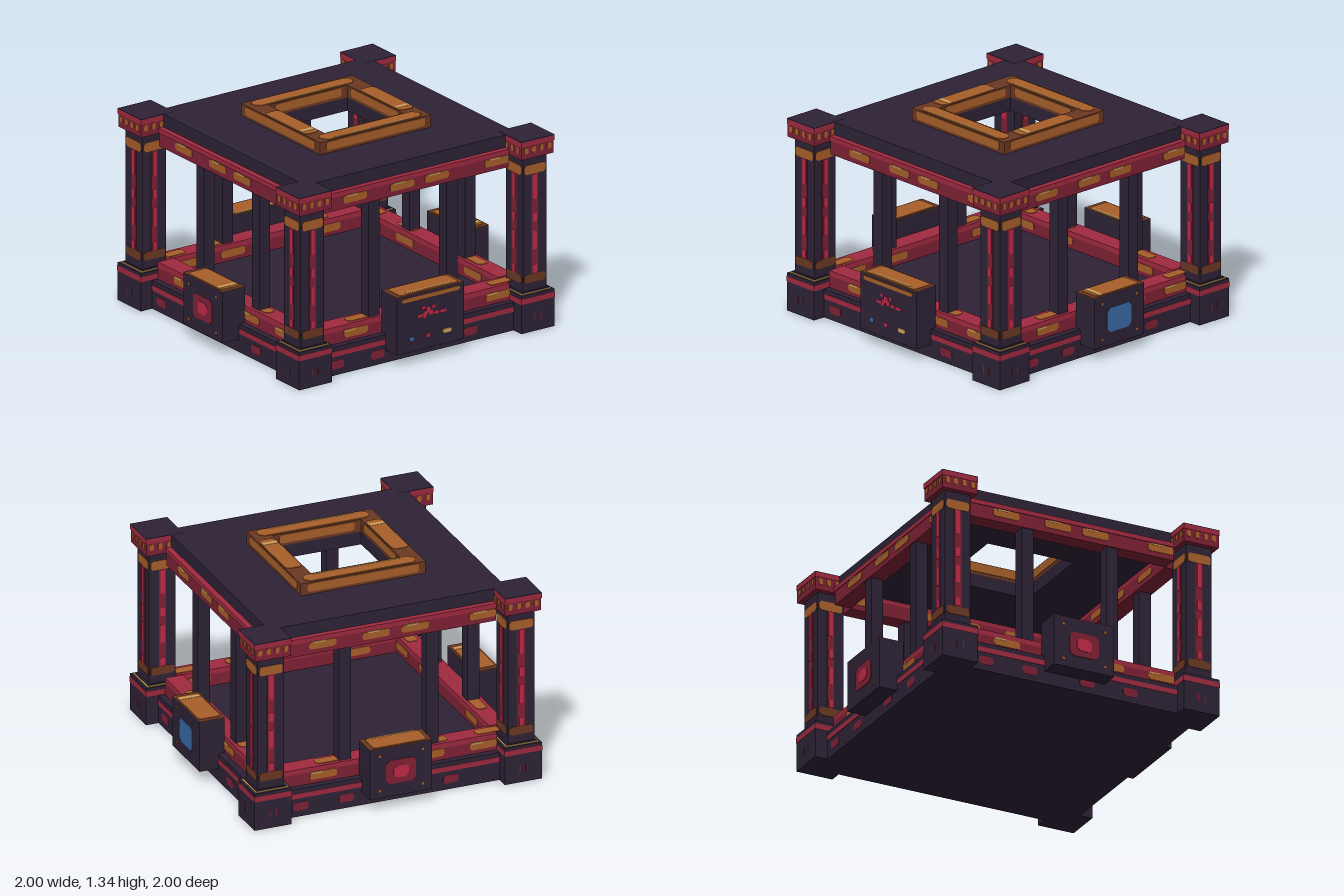
import * as THREE from 'three';

const mat = (name, color) => Object.assign(new THREE.MeshStandardMaterial({ color }), { name });
const DARK = mat('dark stone', 0x2d2236);
const RED = mat('deep red', 0x7f2135);
const MID = mat('trim red', 0xa02a40);
const CRIM = mat('crimson', 0xc02a48);
const GOLD = mat('bronze', 0xa85f2a);
const BROWN = mat('brown', 0x6b3822);
const PALE = mat('pale gold', 0xd0a25a);
const BLUE = mat('blue', 0x3a6aa8);

// Box given by its limits on each axis
function box(parent, name, m, x0, x1, y0, y1, z0, z1) {
  const mesh = new THREE.Mesh(new THREE.BoxGeometry(x1 - x0, y1 - y0, z1 - z0), m);
  mesh.position.set((x0 + x1) / 2, (y0 + y1) / 2, (z0 + z1) / 2);
  mesh.name = name;
  parent.add(mesh);
  return mesh;
}

// Thin plate with clipped corners, facing +z
function plate(parent, name, m, x, y, w, h, z, cut = 0.012, t = 0.004) {
  const a = w / 2, b = h / 2, c = Math.min(cut, a * 0.9, b * 0.9);
  const s = new THREE.Shape([[-a + c, -b], [a - c, -b], [a, -b + c], [a, b - c],
    [a - c, b], [-a + c, b], [-a, b - c], [-a, -b + c]].map(p => new THREE.Vector2(...p)));
  const mesh = new THREE.Mesh(new THREE.ExtrudeGeometry(s, { depth: t, bevelEnabled: false }), m);
  mesh.position.set(x, y, z);
  mesh.name = name;
  parent.add(mesh);
  return mesh;
}

// Horizontal plate lying on a top surface
function topPlate(parent, name, m, x, y, z, w, d, cut = 0.015) {
  const p = plate(parent, name, m, x, y, w, d, 0, cut);
  p.rotation.x = -Math.PI / 2;
  p.position.z = z;
  return p;
}

// One of four edges: lower rail, upper beam, inner posts and base trim
function makeEdge() {
  const g = new THREE.Group();
  g.name = 'edge';
  box(g, 'baseStripe', MID, -0.71, 0.71, 0.122, 0.155, 0.86, 0.875);
  for (const x of [-0.61, -0.31, 0.085, 0.385]) plate(g, 'basePatch', RED, x, 0.068, 0.1, 0.053, 0.87);
  box(g, 'lowerRail', RED, -0.71, 0.71, 0.18, 0.262, 0.71, 0.83);
  box(g, 'lowerRailCap', MID, -0.71, 0.71, 0.262, 0.295, 0.71, 0.83);
  box(g, 'upperBeam', RED, -0.71, 0.71, 1.05, 1.138, 0.71, 0.82);
  box(g, 'upperBeamCap', MID, -0.71, 0.71, 1.138, 1.168, 0.71, 0.825);
  for (const x of [-0.445, -0.09, 0.17, 0.62]) {
    plate(g, 'beamPatch', GOLD, x, 1.107, 0.18, 0.05, 0.82);
    plate(g, 'beamInnerPatch', GOLD, x, 1.107, 0.18, 0.05, 0.706);
    box(g, 'beamHighlight', PALE, x - 0.06, x + 0.02, 1.124, 1.133, 0.82, 0.826);
  }
  for (const x of [-0.445, 0.27, 0.62]) {
    plate(g, 'railPatch', GOLD, x, 0.236, 0.18, 0.05, 0.83);
    plate(g, 'railInnerPatch', GOLD, x, 0.236, 0.18, 0.05, 0.706);
    topPlate(g, 'railTopPatch', GOLD, x + 0.05, 0.295, 0.77, 0.16, 0.07);
    box(g, 'railHighlight', PALE, x - 0.085, x - 0.005, 0.25, 0.26, 0.83, 0.836);
  }
  for (const s of [-1, 1]) {
    box(g, 'innerPost', DARK, s * 0.292 - 0.04, s * 0.292 + 0.04, 0.29, 1.055, 0.73, 0.81);
  }
  return g;
}

// One of four corners: block, post, capital
function makeCorner() {
  const g = new THREE.Group();
  g.name = 'corner';
  const C = 0.832;
  const sq = (name, m, r, y0, y1) => box(g, name, m, C - r, C + r, y0, y1, C - r, C + r);
  sq('cornerBlock', DARK, 0.123, 0, 0.245);
  sq('cornerStripe', MID, 0.125, 0.19, 0.225);
  sq('postFootTrim', PALE, 0.11, 0.245, 0.25);
  sq('postFoot', DARK, 0.1, 0.25, 0.256);
  sq('post', DARK, 0.088, 0.245, 1.13);
  sq('capital', RED, 0.12, 1.132, 1.22);
  sq('capitalRim', MID, 0.123, 1.215, 1.247);
  sq('capitalTop', DARK, 0.123, 1.247, 1.251);
  // Painted faces, repeated on the four sides
  for (let i = 0; i < 4; i++) {
    const f = new THREE.Group();
    f.name = 'cornerFace';
    f.position.set(C, 0, C);
    f.rotation.y = i * Math.PI / 2;
    plate(f, 'postBandTop', GOLD, 0, 1.045, 0.155, 0.06, 0.088);
    plate(f, 'postBandBottom', BROWN, 0, 0.335, 0.155, 0.055, 0.088);
    box(f, 'postStripe', RED, -0.024, 0.024, 0.362, 1.015, 0.08, 0.091);
    for (const [a, b] of [[0.85, 1.01], [0.52, 0.64], [0.37, 0.42], [0.7, 0.76]]) {
      box(f, 'postGlow', CRIM, -0.014, 0.014, a, b, 0.085, 0.094);
    }
    for (const x of [-0.086, -0.029, 0.029, 0.086]) plate(f, 'capitalStud', GOLD, x, 1.187, 0.028, 0.042, 0.12, 0.008);
    for (const x of [-0.022, 0.022]) box(f, 'cornerTick', RED, x - 0.003, x + 0.003, 0.07, 0.12, 0.12, 0.125);
    g.add(f);
  }
  return g;
}

// Box fixed to the outside of an edge, with an inlaid top
function makePanel(name, hw, top) {
  const g = new THREE.Group();
  g.name = name;
  box(g, 'panelBody', DARK, -hw, hw, 0.085, top - 0.004, 0.83, 0.996);
  box(g, 'panelTop', BROWN, -hw, hw, top - 0.004, top, 0.83, 0.996);
  topPlate(g, 'panelInlay', GOLD, 0, top, 0.914, hw * 2 - 0.06, 0.145);
  return g;
}

export function createModel() {
  const model = new THREE.Group();
  model.name = 'pavilion';

  // Base and roof slab with square opening
  box(model, 'base', DARK, -0.872, 0.872, 0, 0.185, -0.872, 0.872);
  const roof = new THREE.Shape([[-1, -1], [1, -1], [1, 1], [-1, 1]].map(p => new THREE.Vector2(p[0] * 0.788, p[1] * 0.788)));
  roof.holes.push(new THREE.Path([[-1, -1], [-1, 1], [1, 1], [1, -1]].map(p => new THREE.Vector2(p[0] * 0.295, p[1] * 0.295))));
  const slab = new THREE.Mesh(new THREE.ExtrudeGeometry(roof, { depth: 0.087, bevelEnabled: false }), DARK);
  slab.rotation.x = -Math.PI / 2;
  slab.position.y = 1.163;
  slab.name = 'roofSlab';
  model.add(slab);

  // Edges and corners
  for (let i = 0; i < 4; i++) {
    for (const part of [makeEdge(), makeCorner()]) {
      part.rotation.y = i * Math.PI / 2;
      model.add(part);
    }
  }

  // Skylight frame
  const frame = new THREE.Group();
  frame.name = 'skylightFrame';
  for (const s of [-1, 1]) {
    const c = s * 0.355;
    box(frame, 'frameBar', BROWN, -0.415, 0.415, 1.25, 1.33, c - 0.06, c + 0.06);
    topPlate(frame, 'frameBarInlay', GOLD, 0, 1.33, c, 0.74, 0.094, 0.03);
    box(frame, 'frameBarHighlight', PALE, -0.29, 0.29, 1.33, 1.336, c + 0.034, c + 0.042);
    box(frame, 'frameSide', BROWN, c - 0.06, c + 0.06, 1.25, 1.33, -0.295, 0.295);
    topPlate(frame, 'frameSideInlay', GOLD, c, 1.33, 0.035, 0.108, 0.44, 0.02);
    box(frame, 'frameSideHighlight', PALE, c - 0.05, c + 0.05, 1.33, 1.336, 0.18, 0.21);
  }
  for (let i = 0; i < 4; i++) {
    const f = new THREE.Group();
    f.name = 'frameFace';
    f.rotation.y = i * Math.PI / 2;
    plate(f, 'frameOuterInlay', GOLD, 0, 1.296, 0.74, 0.056, 0.415);
    plate(f, 'frameInnerInlay', GOLD, 0, 1.296, 0.5, 0.056, 0.291);
    frame.add(f);
  }
  model.add(frame);

  // Front control panel
  const front = makePanel('frontPanel', 0.25, 0.46);
  box(front, 'topHighlight', PALE, -0.165, 0.165, 0.46, 0.466, 0.96, 0.972);
  plate(front, 'panelBar', GOLD, 0, 0.428, 0.44, 0.026, 0.996);
  for (const [x, m, w] of [[-0.145, BLUE, 0.032], [-0.02, CRIM, 0.028], [0.122, PALE, 0.064]]) {
    plate(front, 'panelLight', m, x, 0.17, w, 0.026, 0.996, 0.008);
  }
  for (const [x, y, w, h] of [[-0.02, 0.335, 0.03, 0.04], [-0.04, 0.315, 0.03, 0.03], [0, 0.315, 0.03, 0.03],
    [-0.08, 0.307, 0.045, 0.018], [0.04, 0.307, 0.04, 0.018], [0.092, 0.305, 0.05, 0.018],
    [-0.055, 0.355, 0.025, 0.02], [0.02, 0.35, 0.025, 0.02], [-0.05, 0.293, 0.02, 0.016]]) {
    plate(front, 'panelOrnament', CRIM, x, y, w, h, 0.996, 0.005);
  }
  model.add(front);

  // Right, back and left panels
  [['bluePanel', BLUE], ['backPanel', RED], ['redPanel', RED]].forEach(([name, m], i) => {
    const p = makePanel(name, 0.207, 0.42);
    plate(p, 'emblemPlate', m, 0, 0.248, 0.2, 0.158, 0.996, 0.025);
    if (m === RED) plate(p, 'emblemCore', CRIM, 0, 0.248, 0.1, 0.08, 1, 0.02, 0.003);
    for (const x of [-0.143, 0.143]) for (const y of [0.135, 0.367]) plate(p, 'panelRivet', GOLD, x, y, 0.018, 0.016, 0.996, 0.003);
    // Highlight on the inlaid top
    if (i === 1) box(p, 'topHighlight', PALE, -0.155, 0.155, 0.42, 0.426, 0.838, 0.85);
    else {
      const x = i === 0 ? -0.14 : 0.14;
      box(p, 'topHighlight', PALE, x - 0.014, x + 0.014, 0.42, 0.426, 0.845, 0.985);
    }
    p.rotation.y = (i + 1) * Math.PI / 2;
    model.add(p);
  });

  return model;
}
